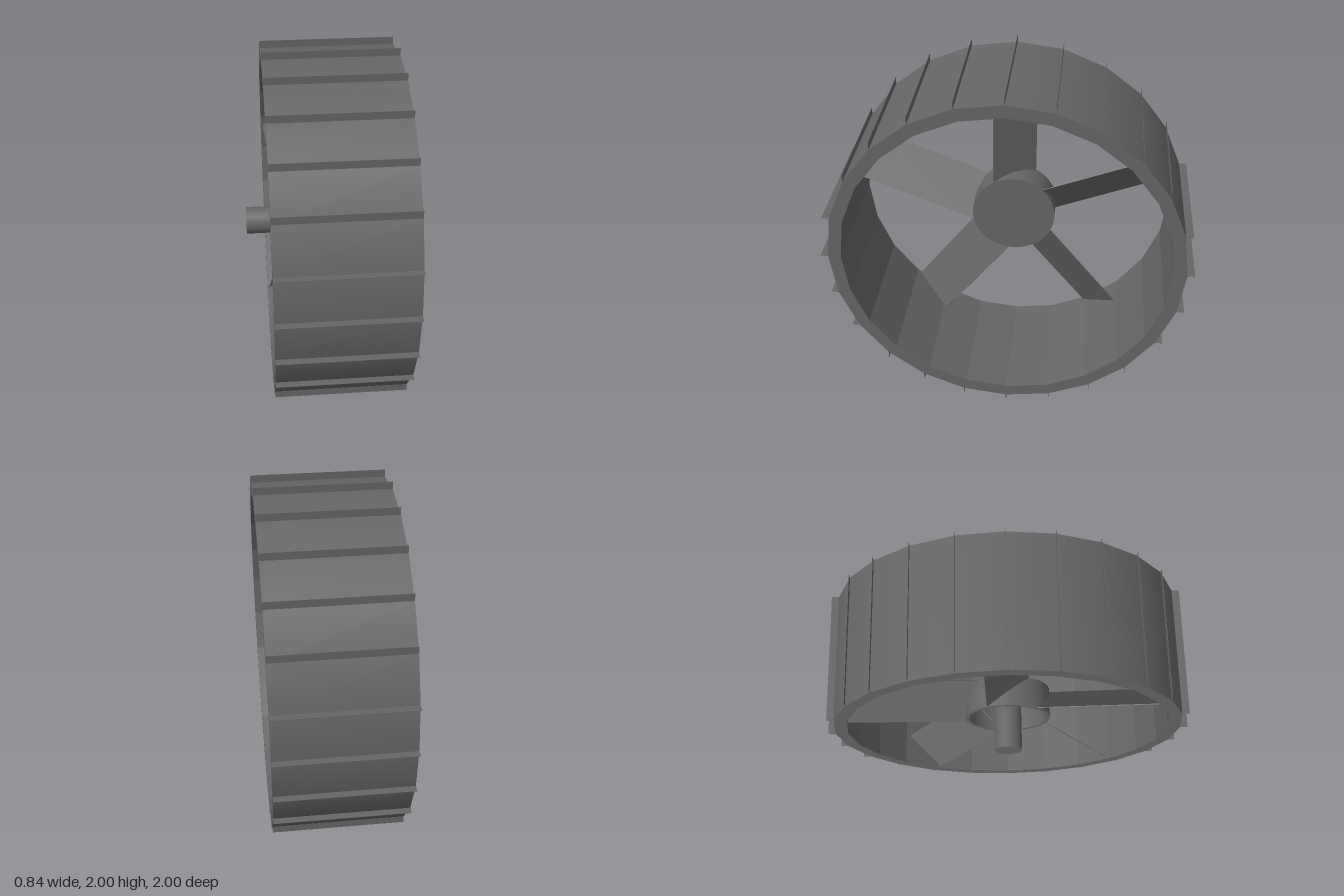
import * as THREE from 'three';
import { toCreasedNormals } from 'three/addons/utils/BufferGeometryUtils.js';

const X0 = -0.305, X1 = 0.415; // rim ends along the axle
const SIDES = 24, SPOKES = 5;
const GREY = 0x666666;

export function createModel() {
  const model = new THREE.Group();
  const smooth = new THREE.MeshStandardMaterial({ color: GREY });
  const flat = new THREE.MeshStandardMaterial({ color: GREY, flatShading: true });

  const wheel = new THREE.Group();
  wheel.name = 'wheel';
  wheel.position.y = 1;
  model.add(wheel);

  const add = (name, geometry, material, parent = wheel) => {
    const mesh = new THREE.Mesh(geometry, material);
    mesh.name = name;
    parent.add(mesh);
    return mesh;
  };

  // Revolves [radius, x] points around the x axis
  const revolve = (points, segments) =>
    new THREE.LatheGeometry(points.map(([r, x]) => new THREE.Vector2(r, x)), segments)
      .rotateZ(-Math.PI / 2);

  // Rim: softly shaded tread, faceted inside and side walls
  add('rimTread', revolve([[0.96, X0], [0.96, X1]], SIDES), smooth);
  add('rimInside', revolve([[0.96, X1], [0.89, X1], [0.89, X0], [0.96, X0]], SIDES), flat);

  // Hub cup: closed on the +x side, open towards the axle
  const cup = [[0, -0.09], [0.215, -0.09], [0.215, -0.235], [0.235, -0.235], [0.235, -0.07], [0, -0.07]];
  add('hub', toCreasedNormals(revolve(cup, 48), 0.6), smooth);

  // Axle
  const axle = add('axle', new THREE.CylinderGeometry(0.075, 0.075, 0.335, 32).rotateZ(Math.PI / 2), smooth);
  axle.position.x = -0.2525;

  // Thin pitched spokes, raked so that the tips lean towards the axle side
  const bladeGeometry = new THREE.BoxGeometry(0.004, 0.69, 0.28);
  for (let i = 0; i < SPOKES; i++) {
    const spoke = new THREE.Group();
    spoke.name = 'spoke';
    spoke.rotation.x = (i * 2 * Math.PI) / SPOKES;
    const blade = add('spokeBlade', bladeGeometry, flat, spoke);
    blade.position.set(-0.182, 0.545, 0);
    blade.rotation.set(0, 0.61, 0.09, 'ZYX');
    wheel.add(spoke);
  }

  // Thin tread fins on every rim corner, upright or level depending on position
  const length = X1 - X0, height = 0.04, thin = 0.002;
  const upright = new THREE.BoxGeometry(length, height, thin);
  const level = new THREE.BoxGeometry(length, thin, height);
  for (let i = 0; i < SIDES; i++) {
    const a = (i * 2 * Math.PI) / SIDES;
    const y = Math.sin(a) * 0.96, z = Math.cos(a) * 0.96;
    const isUpright = y > 0.4 || y < -0.6;
    const fin = add('treadFin', isUpright ? upright : level, flat);
    fin.position.set((X0 + X1) / 2,
      y + (isUpright ? Math.sign(y) * height / 2 : 0),
      z + (isUpright ? 0 : Math.sign(z) * height / 2));
  }
  return model;
}
